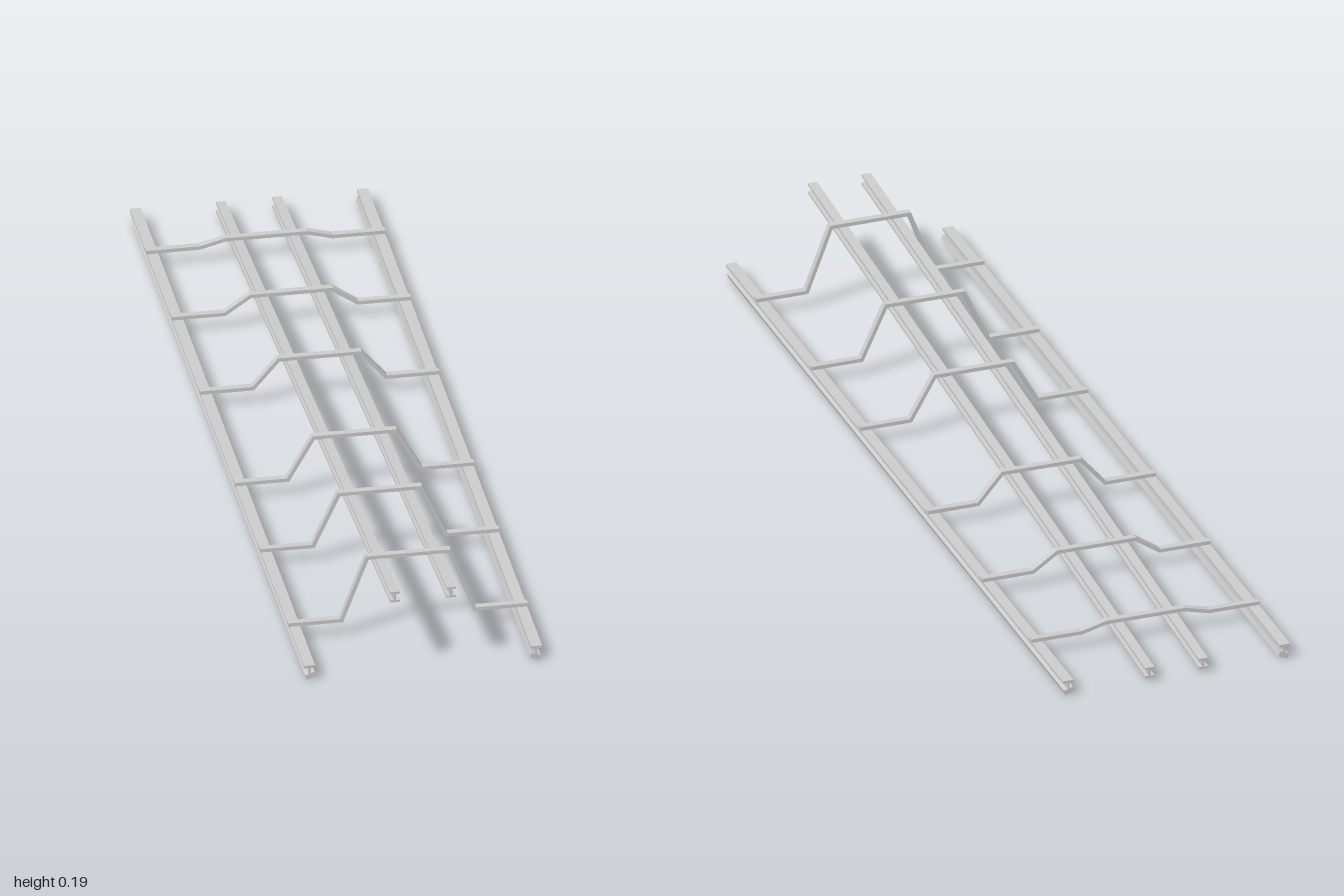
import * as THREE from 'three';

const material = new THREE.MeshStandardMaterial({ color: 0xcccccc, flatShading: true });
const SLOPE = 0.0775; // rise of the inner rails per unit of z
const MID = 0.0975; // height of the inner rails' centre at z = 0

// Extrudes a closed outline along z, centred on z = 0
function extrude(points, depth, name) {
  const shape = new THREE.Shape(points.map(([x, y]) => new THREE.Vector2(x, y)));
  const geometry = new THREE.ExtrudeGeometry(shape, { depth, bevelEnabled: false });
  geometry.translate(0, 0, -depth / 2);
  const mesh = new THREE.Mesh(geometry, material);
  mesh.name = name;
  return mesh;
}

function box(w, h, d, x, y, name) {
  const mesh = new THREE.Mesh(new THREE.BoxGeometry(w, h, d), material);
  mesh.position.set(x, y, 0);
  mesh.name = name;
  return mesh;
}

// Outer rail: flat top flange, thin web and a tilted foot
function outerRail(side) {
  const rail = new THREE.Group();
  rail.name = side > 0 ? 'leftOuterRail' : 'rightOuterRail';
  const foot = box(0.021, 0.011, 2, side * 0.234, 0.0088, 'railFoot');
  foot.rotation.z = -side * 0.34;
  rail.add(
    box(0.023, 0.006, 2, side * 0.2365, 0.03, 'railFlange'),
    box(0.004, 0.018, 2, side * 0.2355, 0.02, 'railWeb'),
    foot
  );
  return rail;
}

// Inner rail: I-section sheared so that it climbs toward the front
function innerRail(side) {
  const w = 0.01, h = 0.012, f = 0.007, t = 0.0025;
  const half = [[w, -h], [w, -f], [t, -f], [t, f], [w, f], [w, h]];
  const outline = [...half, ...half.map(([x, y]) => [-x, y]).reverse()];
  const rail = extrude(outline, 2, side > 0 ? 'leftInnerRail' : 'rightInnerRail');
  const p = rail.geometry.attributes.position;
  for (let i = 0; i < p.count; i++) p.setY(i, p.getY(i) + MID + SLOPE * p.getZ(i));
  rail.geometry.computeVertexNormals();
  rail.position.x = side * 0.0585;
  return rail;
}

// Bent cross tie: a bar of even thickness following a mitred path
function crossTie(z) {
  const top = MID + SLOPE * z + 0.016, base = 0.037, t = 0.004;
  const dx = 0.053, dy = top - base;
  const miter = t * Math.tan(Math.atan2(dy, dx) / 2);
  const edge = (s) => [
    [-0.249, base + s * t], [-0.1385 - s * miter, base + s * t],
    [-0.0855 - s * miter, top + s * t], [0.0855 + s * miter, top + s * t],
    [0.1385 + s * miter, base + s * t], [0.249, base + s * t],
  ];
  const tie = extrude([...edge(-1), ...edge(1).reverse()], 0.015, 'crossTie');
  tie.position.z = z;
  return tie;
}

export function createModel() {
  const model = new THREE.Group();
  model.name = 'rampFrame';
  for (const side of [-1, 1]) model.add(outerRail(side), innerRail(side));
  for (const z of [0.822, 0.497, 0.207, -0.193, -0.518, -0.808]) model.add(crossTie(z));
  return model;
}
